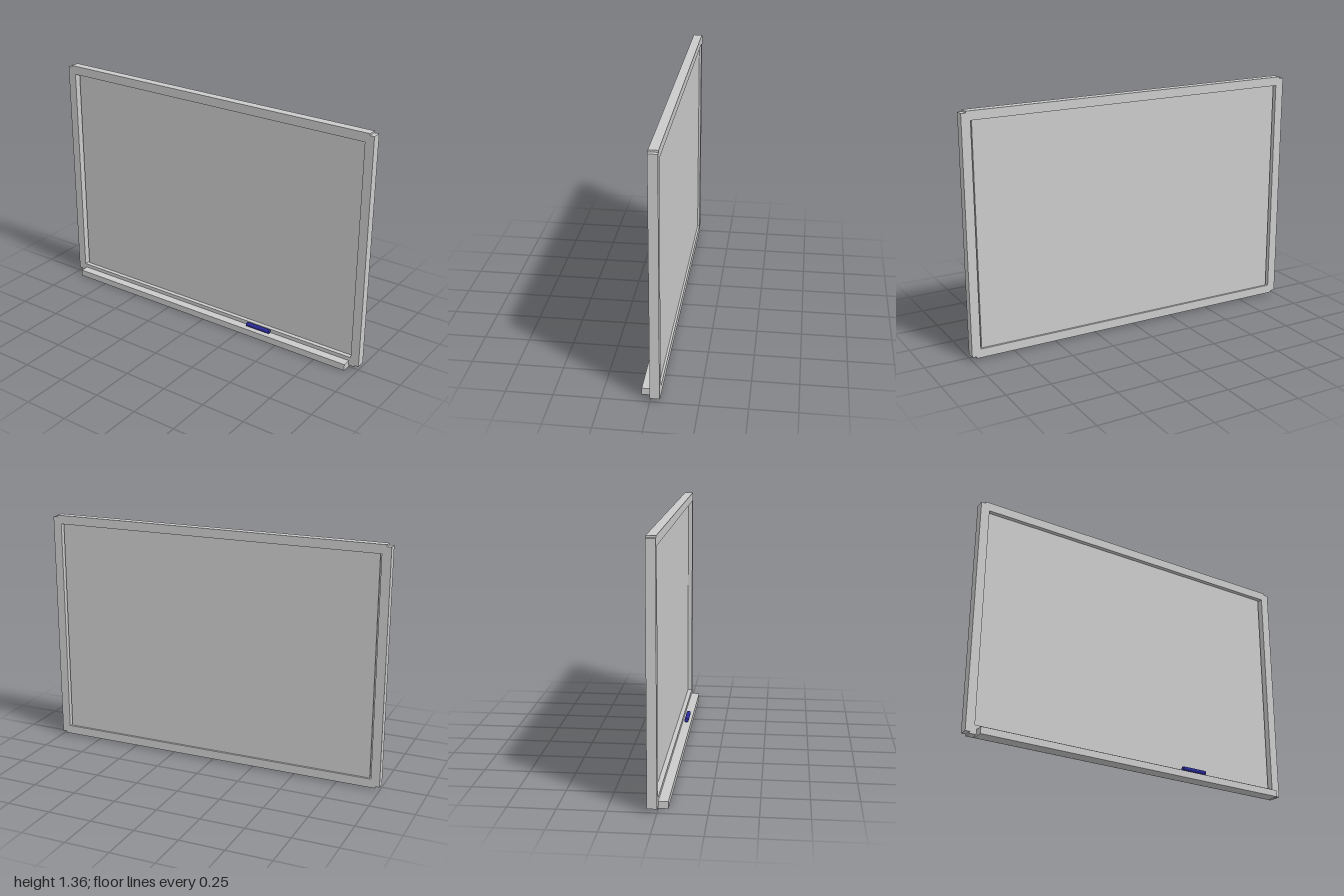
import * as THREE from 'three';

const grey = new THREE.MeshStandardMaterial({ color: 0xcccccc });
const blue = new THREE.MeshStandardMaterial({ color: 0x2a2a99 });

// Box given by its extents along each axis
function box(name, [x0, x1], [y0, y1], [z0, z1]) {
  const mesh = new THREE.Mesh(new THREE.BoxGeometry(x1 - x0, y1 - y0, z1 - z0), grey);
  mesh.position.set((x0 + x1) / 2, (y0 + y1) / 2, (z0 + z1) / 2);
  mesh.name = name;
  return mesh;
}

export function createModel() {
  const group = new THREE.Group();
  group.name = 'whiteboard';
  const depth = [-0.05, 0];

  // Writing panel, recessed with a narrow gap at each side
  group.add(box('panel', [-0.94, 0.94], [0.05, 1.32], [-0.038, -0.025]));

  // Frame: the rails stand slightly proud of the uprights at top and bottom
  group.add(box('topRail', [-0.975, 0.975], [1.31, 1.36], depth));
  group.add(box('bottomRail', [-0.975, 0.975], [0.01, 0.06], depth));
  group.add(box('leftUpright', [0.95, 1], [0.02, 1.35], depth));
  group.add(box('rightUpright', [-1, -0.95], [0.02, 1.35], depth));

  // Tray along the lower edge
  group.add(box('tray', [-0.94, 0.94], [0, 0.038], [-0.025, 0.05]));

  // Marker lying above the tray
  const marker = new THREE.Mesh(new THREE.CylinderGeometry(0.0125, 0.0125, 0.15, 16), blue);
  marker.rotation.z = Math.PI / 2;
  marker.position.set(0.37, 0.058, 0.025);
  marker.name = 'marker';
  group.add(marker);

  return group;
}
